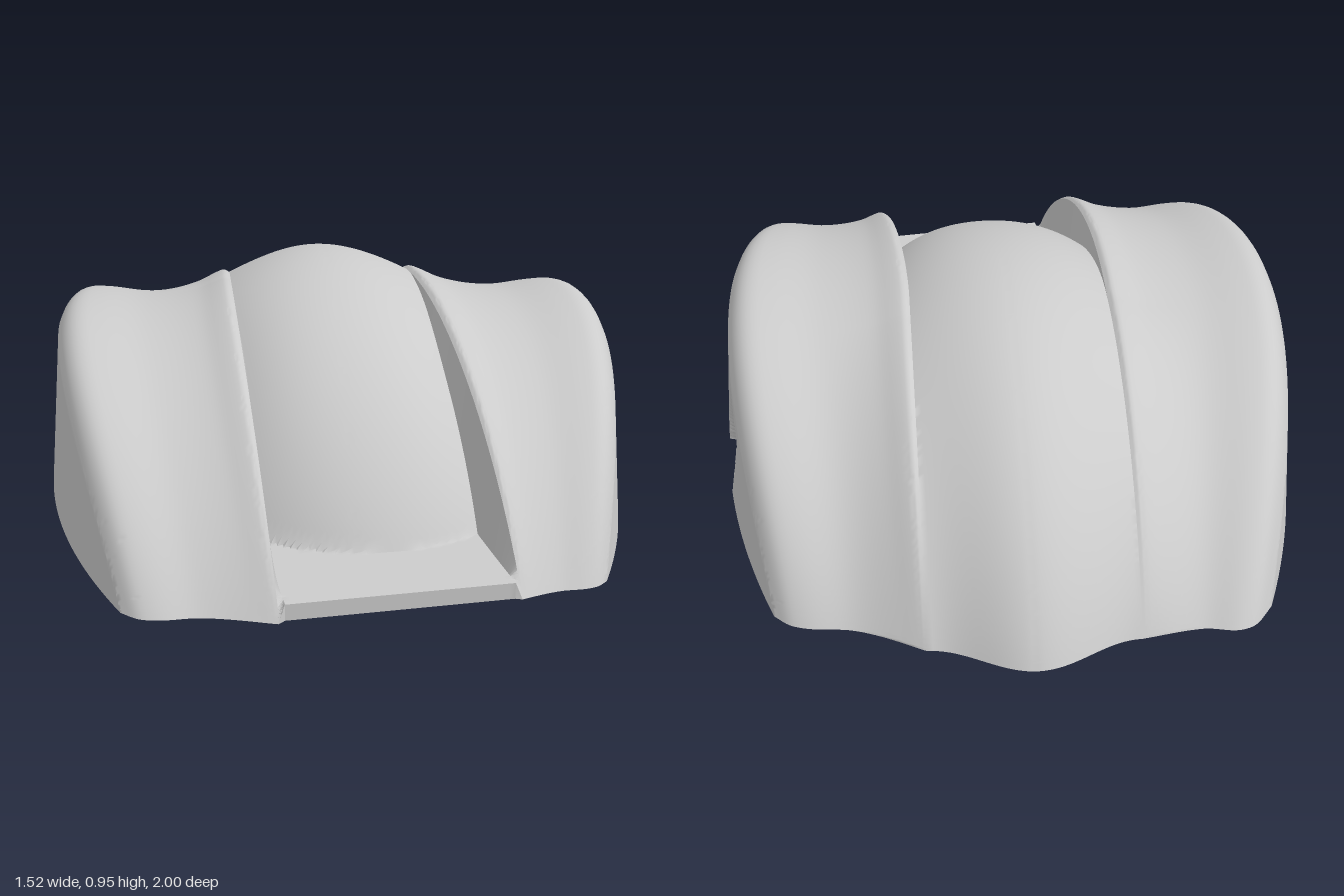
import * as THREE from 'three';
import { toCreasedNormals } from 'three/addons/utils/BufferGeometryUtils.js';

const BASE = 0.415, FLOOR = 0.455;   // underside and slot floor heights
const ROWS = 200, SIDE = 36, PAD = 34, RIDGE = 36;
const TILT = Math.PI / 6;            // backward lean of pins and side grooves
const { clamp, lerp, smoothstep } = THREE.MathUtils;

// smooth curve through a few (position, value) samples
function curve(pos, val) {
  const c = new THREE.CubicInterpolant(pos, val, 1, new Float32Array(1));
  return (t) => c.evaluate(t)[0];
}

// circular arch over the chord zF..zB with its apex at height h
function arch(z, zF, zB, h) {
  const mid = (zF + zB) / 2, half = (zF - zB) / 2, d = h - BASE;
  const r = (half * half + d * d) / (2 * d);
  return Math.max(BASE, h - r + Math.sqrt(Math.max(0, r * r - (z - mid) ** 2)));
}

// pad cross-section from outer edge (0) to slot edge (1)
const padHeight = curve([0, 0.02, 0.06, 0.12, 0.2, 0.5, 0.8, 0.93, 0.97, 1],
  [0.82, 0.845, 0.868, 0.879, 0.878, 0.862, 0.877, 0.9, 0.904, 0.895]);
const ends = {
  '-1': {
    front: curve([0, 0.06, 0.14, 0.5, 1], [0.915, 0.945, 0.957, 0.957, 1]),
    back: curve([0, 0.06, 0.14, 0.5, 1], [-0.83, -0.88, -0.9, -0.893, -0.915]),
  },
  1: {
    front: curve([0, 0.06, 0.14, 0.5, 1], [0.855, 0.877, 0.887, 0.897, 0.93]),
    back: curve([0, 0.06, 0.14, 0.5, 1], [-0.77, -0.8, -0.815, -0.835, -0.915]),
  },
};

function slotEdge(s, z) {
  const t = clamp((z + 0.1) / 1.08, 0, 1);
  return s < 0 ? -0.26 + 0.06 * t * t : 0.25 + 0.12 * t ** 1.5;
}
const outerX = (z, y) => 0.76 - 0.25 * z * z - 0.09 * (y - BASE);
const rowZ = (v, zF, zB) => lerp(zF, zB, 0.5 - 0.5 * Math.cos(Math.PI * v));

// side wall with a tilted round groove
function sidePoint(s, k, v) {
  const zF = ends[s].front(0), zB = ends[s].back(0), z = rowZ(v, zF, zB);
  const y = lerp(BASE, arch(z, zF, zB, padHeight(0)), k);
  let x = outerX(z, y);
  const dz = z + 0.175, dy = y - BASE;
  const across = dz * Math.cos(TILT) + dy * Math.sin(TILT);
  const along = dy * Math.cos(TILT) - dz * Math.sin(TILT);
  if (Math.abs(across) < 0.1 && along < 0.33) {
    x = Math.min(x, 0.765 - Math.sqrt(0.01 - across * across));
  }
  return [s * x, y, z];
}

// outer pad, swelling into the ridge towards the back
function padPoint(s, f, v) {
  const zF = ends[s].front(f), zB = ends[s].back(f), z = rowZ(v, zF, zB);
  const h = arch(z, zF, zB, padHeight(f));
  const edge = arch(z, ends[s].front(1), -0.915, padHeight(1));
  const gain = Math.max(0, arch(z, 0.68, -0.915, 0.88) - edge);
  const y = v === 0 || v === 1 ? BASE : h + gain * smoothstep(f, 0.5, 1);
  return [lerp(s * outerX(z, h), slotEdge(s, z), f), y, z];
}

// middle ridge running down into the slot floor
function ridgePoint(g, v) {
  const q = 2 * g - 1, bell = 0.5 + 0.5 * Math.cos(Math.PI * q);
  const zB = -0.915 - 0.085 * bell, z = rowZ(v, lerp(0.985, 0.925, g), zB);
  let y = arch(z, 0.76 - 0.08 * q * q, zB, 0.955 - 0.075 * q * q);
  if (z > 0) y = Math.max(y, FLOOR);
  if (v === 0 || v === 1) y = BASE;
  const inset = 0.015 * smoothstep(z, -0.1, 0.4);
  return [lerp(slotEdge(-1, z) + inset, slotEdge(1, z) - inset, g), y, z];
}

// all lengthwise columns, from -x to +x
function bodyColumns() {
  const half = (s) => {
    const list = [];
    for (let i = 0; i < SIDE; i++) list.push((v) => sidePoint(s, i / SIDE, v));
    for (let i = 0; i <= PAD; i++) {
      const f = 0.5 - 0.5 * Math.cos(Math.PI * i / PAD);
      list.push((v) => padPoint(s, f, v));
    }
    return list;
  };
  const ridge = [];
  for (let i = 0; i <= RIDGE; i++) ridge.push((v) => ridgePoint(i / RIDGE, v));
  const columns = [...half(-1), ...ridge, ...half(1).reverse()];
  return columns.map((col) => Array.from({ length: ROWS + 1 }, (_, j) => col(j / ROWS)));
}

function shellGeometry(cols) {
  const index = [], n = ROWS + 1;
  for (let i = 0; i < cols.length - 1; i++) {
    for (let j = 0; j < ROWS; j++) {
      const a = i * n + j, b = a + n;
      index.push(a, b, b + 1, a, b + 1, a + 1);
    }
  }
  const geo = new THREE.BufferGeometry();
  geo.setAttribute('position', new THREE.Float32BufferAttribute(cols.flat(2), 3));
  geo.setIndex(index);
  return toCreasedNormals(geo, 0.6);
}

// flat underside following the shell's rim, with a hole round each pin
function undersideGeometry(cols) {
  const last = cols.length - 1;
  const rim = [
    ...cols.map((c) => c[0]),
    ...cols[last].slice(1),
    ...cols.map((c) => c[ROWS]).reverse().slice(1),
    ...cols[0].slice(1, ROWS).reverse(),
  ].map((p) => new THREE.Vector2(p[0], p[2]));
  const outline = rim.filter((p, i) => i === 0 || p.distanceTo(rim[i - 1]) > 1e-4);
  const shape = new THREE.Shape(outline);
  for (const s of [-1, 1]) {
    shape.holes.push(new THREE.Path().absellipse(s * 0.29, -0.175, 0.14, 0.15, 0, Math.PI * 2, true));
  }
  return new THREE.ShapeGeometry(shape, 24).rotateX(Math.PI / 2).translate(0, BASE, 0);
}

export function createModel() {
  const group = new THREE.Group();
  const grey = new THREE.MeshStandardMaterial({ color: 0xcccccc });
  const open = new THREE.MeshStandardMaterial({ color: 0xcccccc, side: THREE.DoubleSide });
  const add = (name, geo, mat = grey) => {
    const mesh = new THREE.Mesh(geo, mat);
    mesh.name = name;
    group.add(mesh);
    return mesh;
  };

  const cols = bodyColumns();
  add('archedBody', shellGeometry(cols));
  add('underside', undersideGeometry(cols));

  // round pin with a softened tip
  const profile = [new THREE.Vector2(0, 0)];
  for (let i = 0; i <= 10; i++) {
    const a = (i / 10) * Math.PI / 2;
    profile.push(new THREE.Vector2(0.045 + 0.055 * Math.sin(a), 0.055 - 0.055 * Math.cos(a)));
  }
  profile.push(new THREE.Vector2(0.1, 0.6));
  const pinGeo = new THREE.LatheGeometry(profile, 40);

  for (const s of [-1, 1]) {
    const pin = add(s < 0 ? 'rightPin' : 'leftPin', pinGeo);
    pin.rotation.x = -TILT;
    pin.position.set(s * 0.29, 0.032, 0.046);

    // shallow recess round the pin
    const wall = new THREE.CylinderGeometry(0.12, 0.14, 0.06, 40, 1, true);
    add('pinRecessWall', wall.scale(1, 1, 0.15 / 0.14), open)
      .position.set(s * 0.29, BASE + 0.03, -0.175);
    const cap = new THREE.CircleGeometry(0.12, 40).rotateX(Math.PI / 2);
    add('pinRecessCap', cap.scale(1, 1, 0.15 / 0.14))
      .position.set(s * 0.29, BASE + 0.06, -0.175);
  }
  return group;
}
